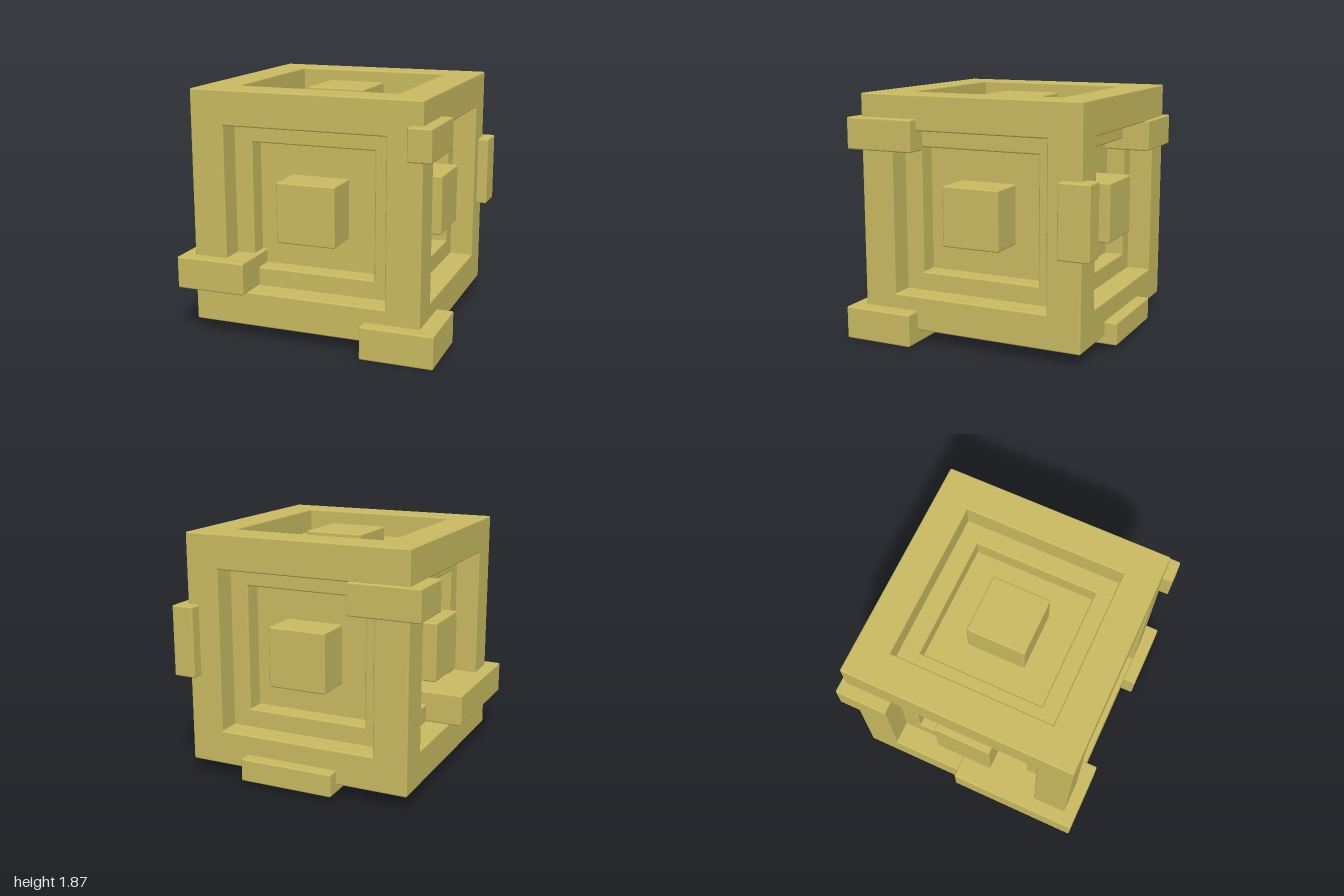
import * as THREE from 'three';
import { RoundedBoxGeometry } from 'three/addons/geometries/RoundedBoxGeometry.js';

const BEVEL = 0.012;

export function createModel() {
  const model = new THREE.Group();
  model.name = 'nestedFrameCube';
  const material = new THREE.MeshStandardMaterial({ color: 0xc8ba60 });

  // Softly bevelled box from its size and centre
  const box = (parent, name, size, position) => {
    const mesh = new THREE.Mesh(new RoundedBoxGeometry(...size, 2, BEVEL), material);
    mesh.name = name;
    mesh.position.set(...position);
    parent.add(mesh);
  };

  // Twelve square bars along the edges of a cube
  const cageFrame = (parent, name, outer, inner) => {
    const frame = new THREE.Group();
    frame.name = name;
    const w = outer - inner;
    const c = (outer + inner) / 2;
    for (let axis = 0; axis < 3; axis++) {
      for (const a of [-c, c]) {
        for (const b of [-c, c]) {
          const size = [w, w, w];
          const position = [0, 0, 0];
          size[axis] = outer * 2;
          position[(axis + 1) % 3] = a;
          position[(axis + 2) % 3] = b;
          box(frame, name + 'Bar', size, position);
        }
      }
    }
    parent.add(frame);
  };

  const cube = new THREE.Group();
  cube.name = 'cube';
  cube.position.set(-0.012, 0.985, -0.003);
  model.add(cube);

  cageFrame(cube, 'outerFrame', 0.885, 0.622);
  cageFrame(cube, 'innerFrame', 0.7, 0.48);
  box(cube, 'core', [1.11, 1.11, 1.11], [0, 0, 0]);

  // Square studs in the middle of all six faces
  for (let axis = 0; axis < 3; axis++) {
    const size = [0.455, 0.455, 0.455];
    size[axis] = 0.845 * 2;
    box(cube, 'faceStuds', size, [0, 0, 0]);
  }

  // Blocks gripping the cube edges, as min and max corners
  const blocks = {
    frontRightLongBlock: [[-1, 0.365, -0.03], [-0.455, 0.61, 0.98]],
    backRightBlock: [[-0.99, 1.375, -0.92], [-0.44, 1.615, -0.52]],
    frontLeftFootBlock: [[0.45, 0, 0.43], [1, 0.25, 0.98]],
    frontLeftUpperBlock: [[0.78, 1.455, 0.413], [0.955, 1.695, 0.958]],
    backLeftUprightBlock: [[0.78, 0.785, -0.98], [0.955, 1.33, -0.738]],
    backBottomBlock: [[-0.347, 0.035, -0.985], [0.393, 0.21, -0.72]],
  };
  for (const [name, [min, max]] of Object.entries(blocks)) {
    box(model, name, max.map((v, i) => v - min[i]), max.map((v, i) => (v + min[i]) / 2));
  }

  return model;
}
